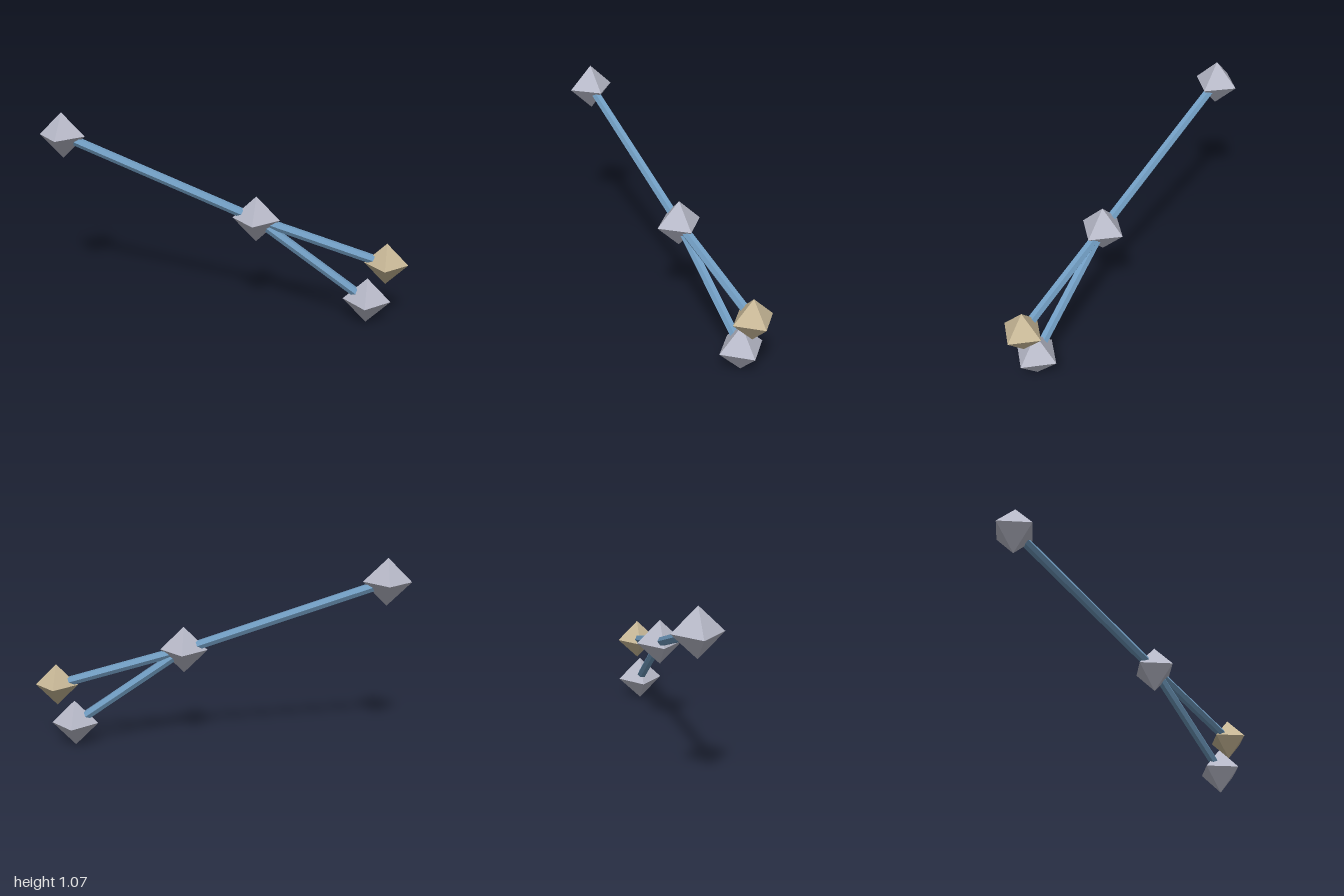
import * as THREE from 'three';

const mat = (name, color) => {
  const m = new THREE.MeshStandardMaterial({ color, flatShading: true });
  m.name = name;
  return m;
};

export function createModel() {
  const group = new THREE.Group();
  group.name = 'nodeGraph';
  const grey = mat('paleGrey', 0xb8bac9);
  const sand = mat('sand', 0xc8b897);
  const blue = mat('steelBlue', 0x719dc2);

  // Octahedral nodes: position, radius, material
  const nodes = {
    upperNode: [[-0.873, 0.94, -0.015], 0.127, grey],
    hubNode: [[0.192, 0.55, 0.016], 0.127, grey],
    lowerNode: [[0.792, 0.128, 0.007], 0.127, grey],
    endNode: [[0.885, 0.346, 0.007], 0.115, sand],
  };
  for (const [name, [pos, radius, material]] of Object.entries(nodes)) {
    const mesh = new THREE.Mesh(new THREE.OctahedronGeometry(radius), material);
    mesh.name = name;
    mesh.position.set(...pos);
    group.add(mesh);
  }

  // Hexagonal rods running from the hub centre to each outer node
  const up = new THREE.Vector3(0, 1, 0);
  const addRod = (name, from, to) => {
    const a = new THREE.Vector3(...nodes[from][0]);
    const b = new THREE.Vector3(...nodes[to][0]);
    const dir = b.clone().sub(a);
    const rod = new THREE.Mesh(new THREE.CylinderGeometry(0.026, 0.026, dir.length(), 6), blue);
    rod.name = name;
    rod.position.copy(a).lerp(b, 0.5);
    rod.quaternion.setFromUnitVectors(up, dir.normalize());
    group.add(rod);
  };
  addRod('upperRod', 'upperNode', 'hubNode');
  addRod('lowerRod', 'hubNode', 'lowerNode');
  addRod('endRod', 'hubNode', 'endNode');

  return group;
}
